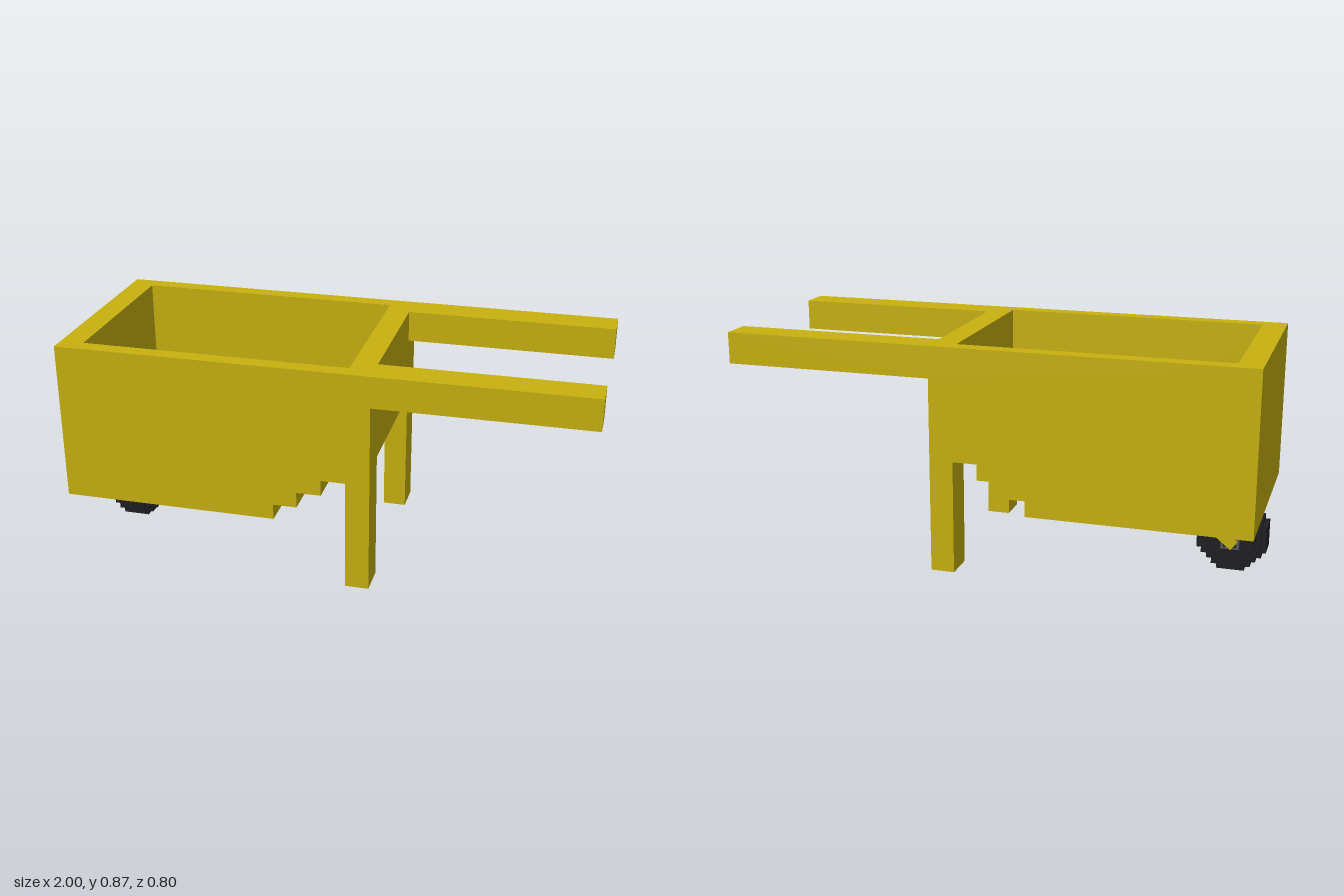
import * as THREE from 'three';

const yellow = new THREE.MeshStandardMaterial({ color: 0xc8b210, flatShading: true });
const black = new THREE.MeshStandardMaterial({ color: 0x1f1f22, flatShading: true });
const grey = new THREE.MeshStandardMaterial({ color: 0x55555a, flatShading: true });

// Extrudes an outline in the x-y plane between two z positions
function slab(name, points, z0, z1, material) {
  const shape = new THREE.Shape(points.map(([x, y]) => new THREE.Vector2(x, y)));
  const geometry = new THREE.ExtrudeGeometry(shape, { depth: z1 - z0, bevelEnabled: false });
  geometry.translate(0, 0, z0);
  const mesh = new THREE.Mesh(geometry, material);
  mesh.name = name;
  return mesh;
}

function box(name, x0, x1, y0, y1, z0, z1, material) {
  const mesh = new THREE.Mesh(new THREE.BoxGeometry(x1 - x0, y1 - y0, z1 - z0), material);
  mesh.position.set((x0 + x1) / 2, (y0 + y1) / 2, (z0 + z1) / 2);
  mesh.name = name;
  return mesh;
}

// Blocky circle outline made from one stepped quadrant
function steppedCircle(scale) {
  const quadrant = [[0.13, 0.052], [0.113, 0.052], [0.113, 0.073], [0.092, 0.073], [0.092, 0.092],
    [0.073, 0.092], [0.073, 0.113], [0.052, 0.113], [0.052, 0.13]];
  const points = [];
  for (let q = 0; q < 4; q++) {
    for (const [x, y] of quadrant) {
      const [px, py] = [[x, y], [-y, x], [-x, -y], [y, -x]][q];
      points.push([px * scale, py * scale]);
    }
  }
  return points;
}

export function createModel() {
  const group = new THREE.Group();
  const front = -0.99, back = 0.2, inner = 0.11, top = 0.865, bottom = 0.255;

  // Staircase shared by the underside and the floor of the tub
  const underside = [[-0.165, 0.255], [-0.165, 0.315], [-0.075, 0.315], [-0.075, 0.376],
    [0.018, 0.376], [0.018, 0.437], [inner, 0.437]];
  const floorSteps = [[inner, 0.62], [0.018, 0.62], [0.018, 0.56], [-0.075, 0.56], [-0.075, 0.5],
    [-0.165, 0.5], [-0.165, 0.437], [-0.258, 0.437], [-0.258, 0.376], [-0.9, 0.376]];

  // Tub: end walls and stepped floor in one cross-section
  group.add(slab('tub', [[front, bottom], ...underside, [inner, 0.5], [back, 0.5], [back, top],
    [inner, top], ...floorSteps, [-0.9, top], [front, top]], -0.34, 0.34, yellow));

  for (const s of [1, -1]) {
    const range = (a, b) => (s > 0 ? [a, b] : [-b, -a]);

    // Side panel, with outer half of leg and handle
    group.add(slab('sidePanel', [[front, bottom], ...underside, [inner, 0.005], [back, 0.005],
      [back, 0.745], [1, 0.745], [1, top], [front, top]], ...range(0.34, 0.4), yellow));

    // Inner half of leg and handle
    group.add(box('leg', inner, back, 0.005, 0.5, ...range(0.28, 0.34), yellow));
    group.add(box('handle', back, 1, 0.745, top, ...range(0.28, 0.34), yellow));

    // Slanted wheel strut
    const strut = new THREE.Mesh(new THREE.BoxGeometry(0.24, 0.036, 0.025), yellow);
    strut.name = 'wheelStrut';
    strut.position.set(-0.795, 0.198, s * 0.118);
    strut.rotation.z = 0.68;
    group.add(strut);
  }

  // Wheel: nested blocky discs, wider toward the hub
  const wheel = new THREE.Group();
  wheel.name = 'wheel';
  wheel.position.set(-0.87, 0.13, 0);
  for (const [scale, half] of [[1, 0.05], [0.86, 0.068], [0.7, 0.085]]) {
    wheel.add(slab('tyre', steppedCircle(scale), -half, half, black));
  }
  wheel.add(box('hub', -0.035, 0.035, -0.035, 0.035, -0.088, 0.088, grey));
  wheel.add(box('axle', -0.023, 0.023, -0.023, 0.023, -0.1, 0.1, black));
  group.add(wheel);

  return group;
}
